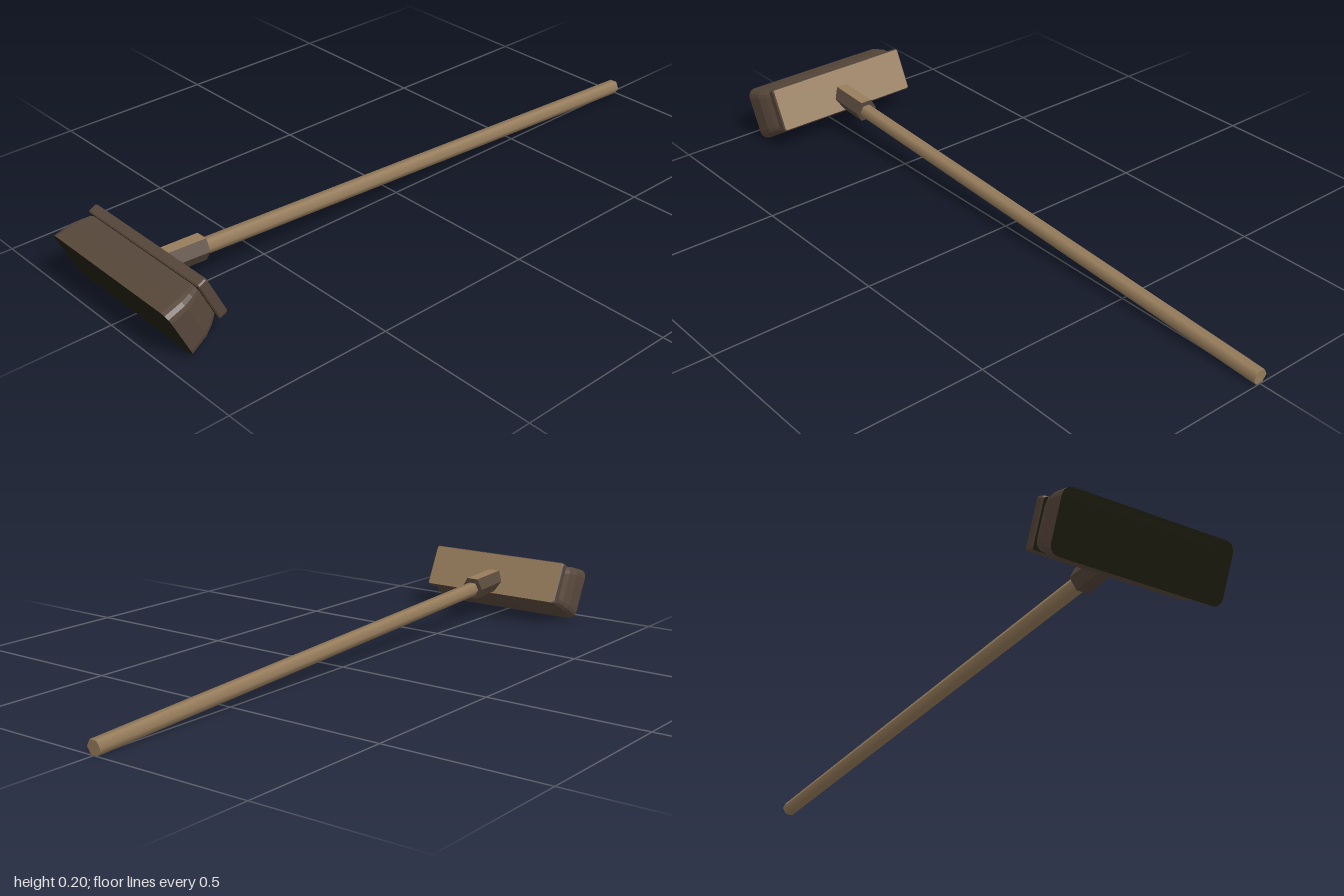
import * as THREE from 'three';

const wood = new THREE.MeshStandardMaterial({ color: 0x967c5b });
const brown = new THREE.MeshStandardMaterial({ color: 0x56463a });
const dark = new THREE.MeshStandardMaterial({ color: 0x1f1e0f });
wood.name = 'tan wood';
brown.name = 'brown bristle';
dark.name = 'dark tips';

// Rounded rectangle outline, counter-clockwise seen from +z
function outline([z, hw, hh, r], steps = 3) {
  const pts = [];
  [[1, 1], [-1, 1], [-1, -1], [1, -1]].forEach(([sx, sy], q) => {
    for (let i = 0; i <= steps; i++) {
      const a = (q + i / steps) * Math.PI / 2;
      pts.push([sx * (hw - r) + r * Math.cos(a), sy * (hh - r) + r * Math.sin(a), z]);
    }
  });
  return pts;
}

// Block lofted through rounded rectangles; groups: 0 sides, 1 back cap, 2 front cap
function loft(sections) {
  const rings = sections.map((s) => outline(s));
  const n = rings[0].length, pos = [], geo = new THREE.BufferGeometry();
  for (let k = 0; k < rings.length - 1; k++) {
    for (let i = 0; i < n; i++) {
      const j = (i + 1) % n, a = rings[k], b = rings[k + 1];
      pos.push(...a[i], ...a[j], ...b[j], ...a[i], ...b[j], ...b[i]);
    }
  }
  const sides = pos.length / 3;
  const back = rings[0], front = rings[rings.length - 1];
  for (let i = 1; i < n - 1; i++) pos.push(...back[0], ...back[i + 1], ...back[i]);
  for (let i = 1; i < n - 1; i++) pos.push(...front[0], ...front[i], ...front[i + 1]);
  geo.setAttribute('position', new THREE.Float32BufferAttribute(pos, 3));
  geo.computeVertexNormals();
  const cap = (n - 2) * 3;
  geo.addGroup(0, sides, 0);
  geo.addGroup(sides, cap, 1);
  geo.addGroup(sides + cap, cap, 2);
  return geo;
}

// Six-sided bar along z with a flat top
function hexBar(rFront, rBack, length) {
  return new THREE.CylinderGeometry(rFront, rBack, length, 6)
    .rotateY(Math.PI / 6).rotateX(Math.PI / 2);
}

function add(parent, name, geo, mat, x = 0, y = 0, z = 0) {
  const mesh = new THREE.Mesh(geo, mat);
  mesh.name = name;
  mesh.position.set(x, y, z);
  parent.add(mesh);
  return mesh;
}

export function createModel() {
  const root = new THREE.Group();
  root.name = 'broom';
  const tilt = -0.053;

  // Long pole, resting on its far end
  add(root, 'pole', hexBar(0.0235, 0.0235, 1.84), wood, 0, 0.0695, -0.08).rotation.x = tilt;

  // Socket joining pole and head, with a lighter top face
  const socketGeo = hexBar(0.037, 0.038, 0.14).toNonIndexed();
  socketGeo.computeVertexNormals();
  const count = socketGeo.attributes.position.count;
  socketGeo.clearGroups();
  socketGeo.addGroup(0, 12, 0);
  socketGeo.addGroup(12, 6, 1);
  socketGeo.addGroup(18, count - 18, 0);
  add(root, 'socket', socketGeo, [brown, wood], 0, 0.117, 0.773).rotation.x = tilt;

  // Head, tipped forward
  const head = new THREE.Group();
  head.name = 'head';
  head.position.set(0, 0.141, 0.835);
  head.rotation.x = 0.439;
  root.add(head);

  // Backing board
  add(head, 'board', loft([
    [0, 0.245, 0.067, 0.006],
    [0.004, 0.249, 0.07, 0.008],
    [0.026, 0.249, 0.07, 0.008],
    [0.03, 0.245, 0.067, 0.006],
  ]), [brown, wood, dark]);

  // Flared bristle block
  add(head, 'bristles', loft([
    [0.028, 0.238, 0.061, 0.02],
    [0.055, 0.252, 0.07, 0.022],
    [0.085, 0.262, 0.077, 0.025],
    [0.14, 0.265, 0.085, 0.026],
  ]), [brown, brown, dark]);

  return root;
}
